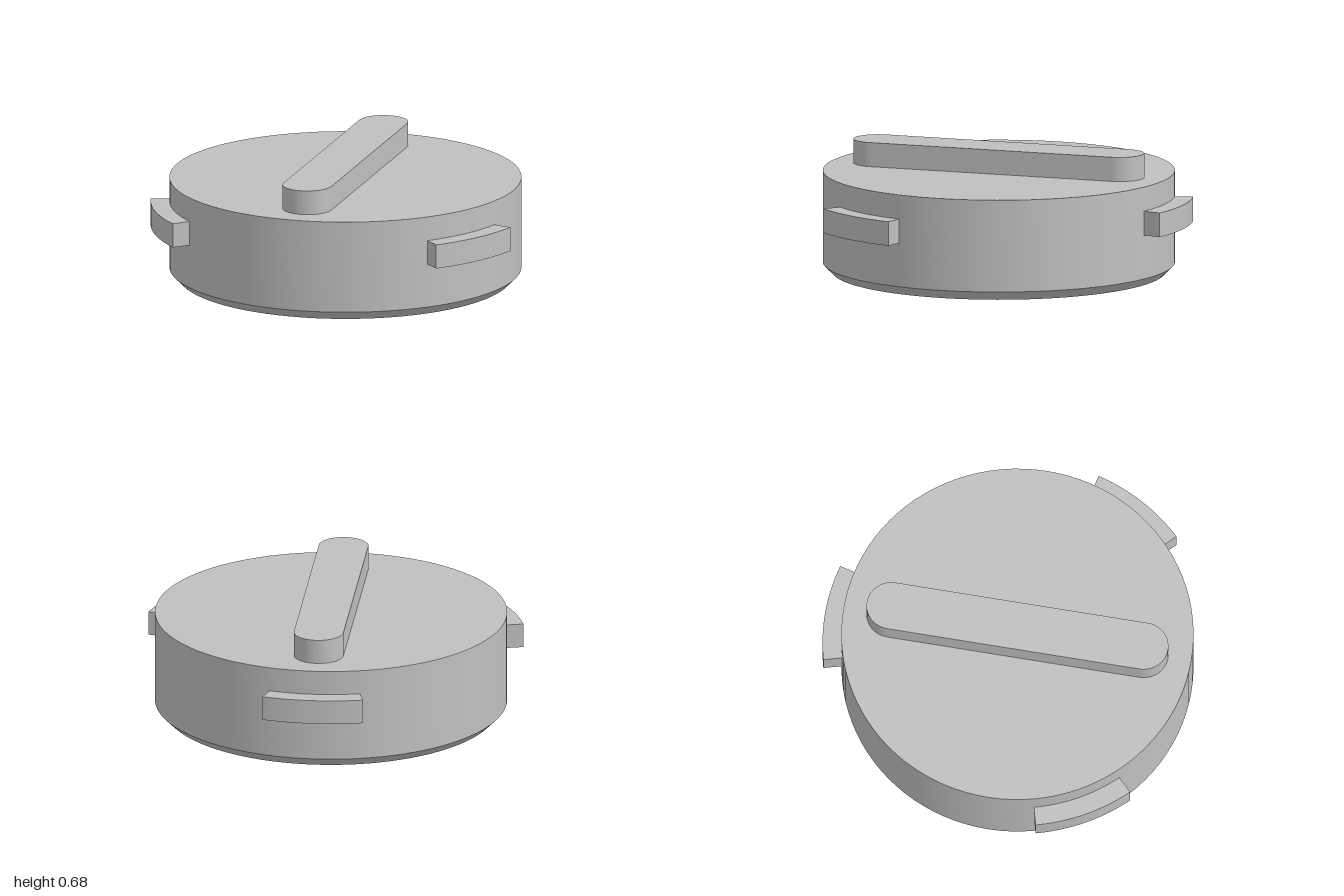
import * as THREE from 'three';
import { toCreasedNormals } from 'three/addons/utils/BufferGeometryUtils.js';

const R = 0.935, CHAMFER = 0.05, BODY_TOP = 0.545, CENTRE_Z = 0.047;
const HOLE_R = 0.26, HOLE_DEPTH = 0.26, HOLE_RING = 0.59;
const SEGMENTS = 96;

export function createModel() {
  const grey = new THREE.MeshStandardMaterial({ color: 0xc0c0c0 });
  grey.name = 'grey';
  const model = new THREE.Group();
  model.name = 'roundLid';

  const add = (name, geometry, x = 0, y = 0, z = 0) => {
    const mesh = new THREE.Mesh(toCreasedNormals(geometry, 0.5), grey);
    mesh.name = name;
    mesh.position.set(x, y, z + CENTRE_Z);
    model.add(mesh);
  };
  const lathe = (points) =>
    new THREE.LatheGeometry(points.map(([x, y]) => new THREE.Vector2(x, y)), SEGMENTS);
  // Extrudes a plan shape (x, z) downwards from y = 0
  const slab = (shape, depth) =>
    new THREE.ExtrudeGeometry(shape, { depth, bevelEnabled: false, curveSegments: 32 }).rotateX(Math.PI / 2);

  // Chamfered drum with a closed top
  add('body', lathe([[R - CHAMFER, 0], [R, CHAMFER], [R, BODY_TOP], [0, BODY_TOP]]));

  // Underside pierced by one central hole and six around it
  const centres = [[0, 0]];
  for (let i = 0; i < 6; i++) {
    const a = Math.PI / 6 + i * Math.PI / 3;
    centres.push([HOLE_RING * Math.cos(a), HOLE_RING * Math.sin(a)]);
  }
  const base = new THREE.Shape().absarc(0, 0, R - CHAMFER, 0, Math.PI * 2);
  for (const [x, z] of centres) {
    base.holes.push(new THREE.Path().absarc(x, z, HOLE_R, 0, Math.PI * 2, true));
    add('socket', lathe([[0, HOLE_DEPTH], [HOLE_R, HOLE_DEPTH], [HOLE_R, 0]]), x, 0, z);
  }
  add('underside', new THREE.ShapeGeometry(base, SEGMENTS).rotateX(Math.PI / 2));

  // Long round-ended grip across the top
  const w = 0.132, end = 0.811 - w;
  const grip = new THREE.Shape();
  grip.absarc(0, end, w, 0, Math.PI);
  grip.absarc(0, -end, w, Math.PI, Math.PI * 2);
  add('grip', slab(grip, 0.13), 0, 0.675, 0);

  // Three curved locking tabs, 120 degrees apart
  for (const degrees of [30, 150, 270]) {
    const mid = THREE.MathUtils.degToRad(degrees), half = Math.PI / 12;
    const tab = new THREE.Shape();
    tab.absarc(0, 0, 1.035, mid - half, mid + half);
    tab.absarc(0, 0, R - 0.02, mid + half, mid - half, true);
    add('lockingTab', slab(tab, 0.13), 0, 0.415, 0);
  }
  return model;
}
